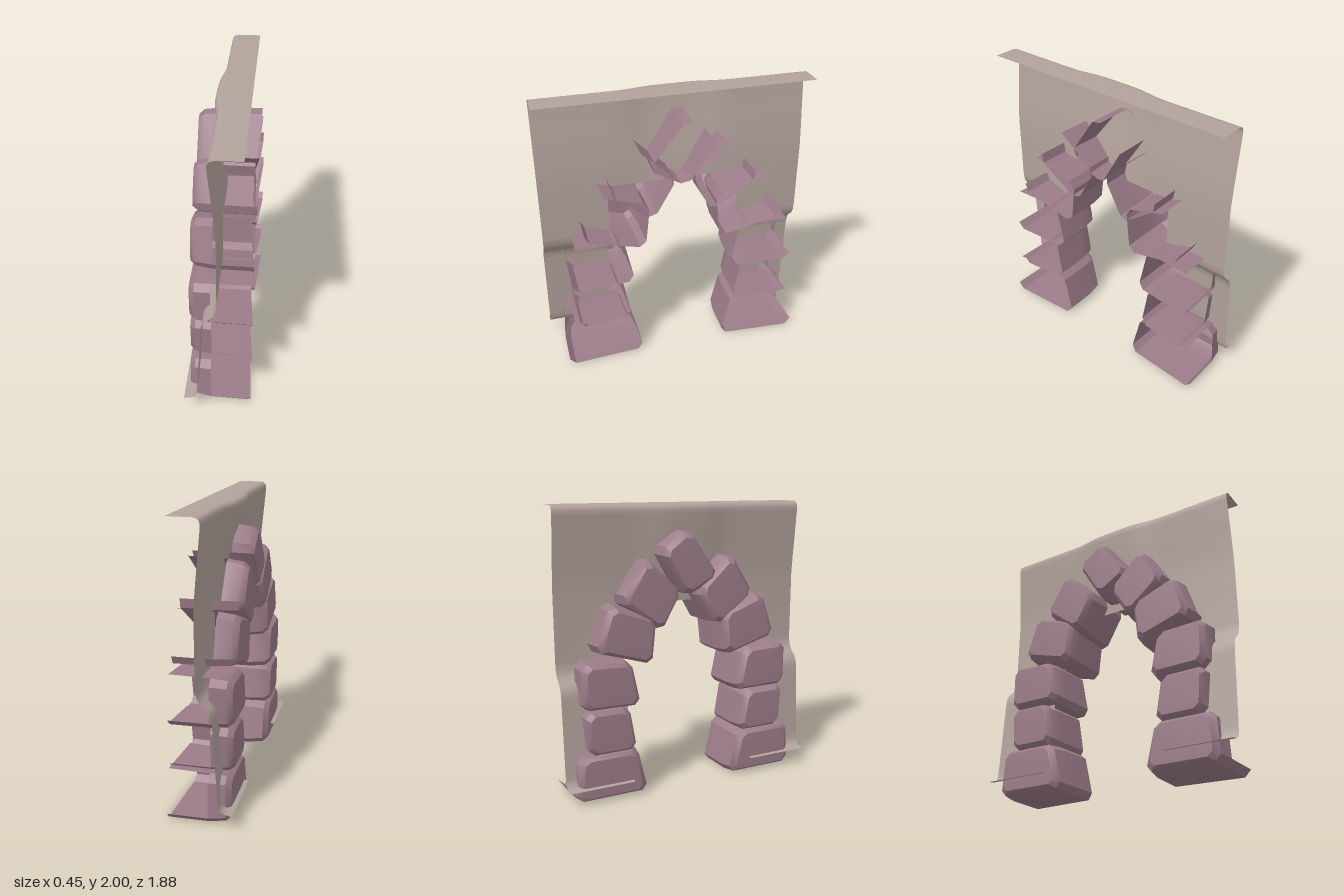
import * as THREE from 'three';
import { toCreasedNormals } from 'three/addons/utils/BufferGeometryUtils.js';

const plaster = new THREE.MeshStandardMaterial({ color: 0xb3a29c, side: THREE.DoubleSide });
const rock = new THREE.MeshStandardMaterial({ color: 0x9c7c89, side: THREE.DoubleSide });

// Sheet swept along z from a profile of [x, y, bulge weight]
function sheet(name, profile, z0, z1, columns) {
  const pos = [], index = [];
  profile.forEach(([x, y, w = 0], r) => {
    for (let c = 0; c <= columns; c++) {
      const z = z0 + (z1 - z0) * c / columns;
      pos.push(x - 0.032 * w * Math.exp(-((z / 0.27) ** 4)), y, z);
      if (r && c) {
        const a = (r - 1) * (columns + 1) + c - 1, b = a + 1;
        const d = a + columns + 1, e = d + 1;
        index.push(a, b, e, a, e, d);
      }
    }
  });
  const geo = new THREE.BufferGeometry();
  geo.setAttribute('position', new THREE.Float32BufferAttribute(pos, 3));
  geo.setIndex(index);
  geo.computeVertexNormals();
  const mesh = new THREE.Mesh(geo, plaster);
  mesh.name = name;
  return mesh;
}

// Chamfered stone from four [z, y] corners: inner low, inner high, outer high, outer low.
// Behind the wall it is open on its outer side, leaving flaps.
function stone(name, quad, mirrored) {
  const corners = quad.map(([z, y]) => new THREE.Vector2(mirrored ? -0.04 - z : z, y));
  const centre = new THREE.Vector2();
  corners.forEach(p => centre.addScaledVector(p, 0.25));
  const outline = [];
  corners.forEach((p, i) => {
    for (const k of [3, 1]) {
      const dir = corners[(i + k) % 4].clone().sub(p).normalize();
      outline.push(p.clone().addScaledVector(dir, 0.045));
    }
  });
  const backX = [0.19, 0.18, 0.18, 0.19, 0.22, 0.22, 0.22, 0.22];
  const rings = [[-0.2, 0.78], [-0.165, 0.93], [-0.055, 1], [null, 1.02]].map(([x, s]) =>
    outline.map((p, i) => {
      const q = p.clone().sub(centre).multiplyScalar(s).add(centre);
      return new THREE.Vector3(x ?? backX[i], Math.max(q.y, 0), q.x);
    }));
  const pos = [];
  const tri = (a, b, c) => {
    for (const p of mirrored ? [a, c, b] : [a, b, c]) pos.push(p.x, p.y, p.z);
  };
  const middle = new THREE.Vector3(-0.205, centre.y, centre.x);
  for (let i = 0; i < 8; i++) {
    const j = (i + 1) % 8;
    tri(middle, rings[0][j], rings[0][i]);
    for (let r = 0; r < 3; r++) {
      if (r === 2 && (i === 4 || i === 5)) continue;
      const [a, b, c, d] = [rings[r][i], rings[r][j], rings[r + 1][j], rings[r + 1][i]];
      tri(a, b, c);
      tri(a, c, d);
    }
  }
  const geo = new THREE.BufferGeometry();
  geo.setAttribute('position', new THREE.Float32BufferAttribute(pos, 3));
  const mesh = new THREE.Mesh(toCreasedNormals(geo, 0.6), rock);
  mesh.name = name;
  return mesh;
}

export function createModel() {
  const model = new THREE.Group();

  // Wall above the opening, rolling over into a flat top ledge
  model.add(sheet('upperWall', [
    [0, 1.32], [0, 1.45, 0.3], [-0.01, 1.58, 0.6], [-0.027, 1.75, 0.9], [-0.045, 1.93, 1],
    [-0.046, 1.96, 1], [-0.04, 1.98, 1], [-0.026, 1.994, 1], [0, 2, 0.8], [0.16, 2],
  ], -0.94, 0.94, 40));

  // Wall legs stepping forward and flaring at the foot
  const leg = [
    [-0.23, 0.12], [-0.18, 0.128], [-0.153, 0.145], [-0.14, 0.175], [-0.135, 0.23],
    [-0.105, 0.74], [-0.098, 0.79], [-0.075, 0.83], [-0.03, 0.87], [-0.008, 0.91], [0, 0.97], [0, 1.32],
  ];
  model.add(sheet('leftWallLeg', leg, 0.47, 0.94, 2));
  model.add(sheet('rightWallLeg', leg, -0.94, -0.47, 2));

  // Arch stones, bottom to top, mirrored on both sides
  const stones = [
    [[0.29, 0.005], [0.37, 0.345], [0.83, 0.345], [0.85, 0.005]],
    [[0.375, 0.325], [0.43, 0.65], [0.775, 0.655], [0.75, 0.325]],
    [[0.34, 0.64], [0.41, 0.97], [0.79, 0.985], [0.785, 0.645]],
    [[0.255, 0.91], [0.22, 1.24], [0.58, 1.37], [0.69, 1.04]],
    [[0.19, 1.13], [0.03, 1.41], [0.31, 1.67], [0.5, 1.37]],
  ];
  stones.forEach((quad, i) => {
    model.add(stone(`leftArchStone${i + 1}`, quad, false));
    model.add(stone(`rightArchStone${i + 1}`, quad, true));
  });
  model.add(stone('keystone', [[0.22, 1.5], [-0.04, 1.355], [-0.25, 1.7], [-0.03, 1.85]], false));
  return model;
}
